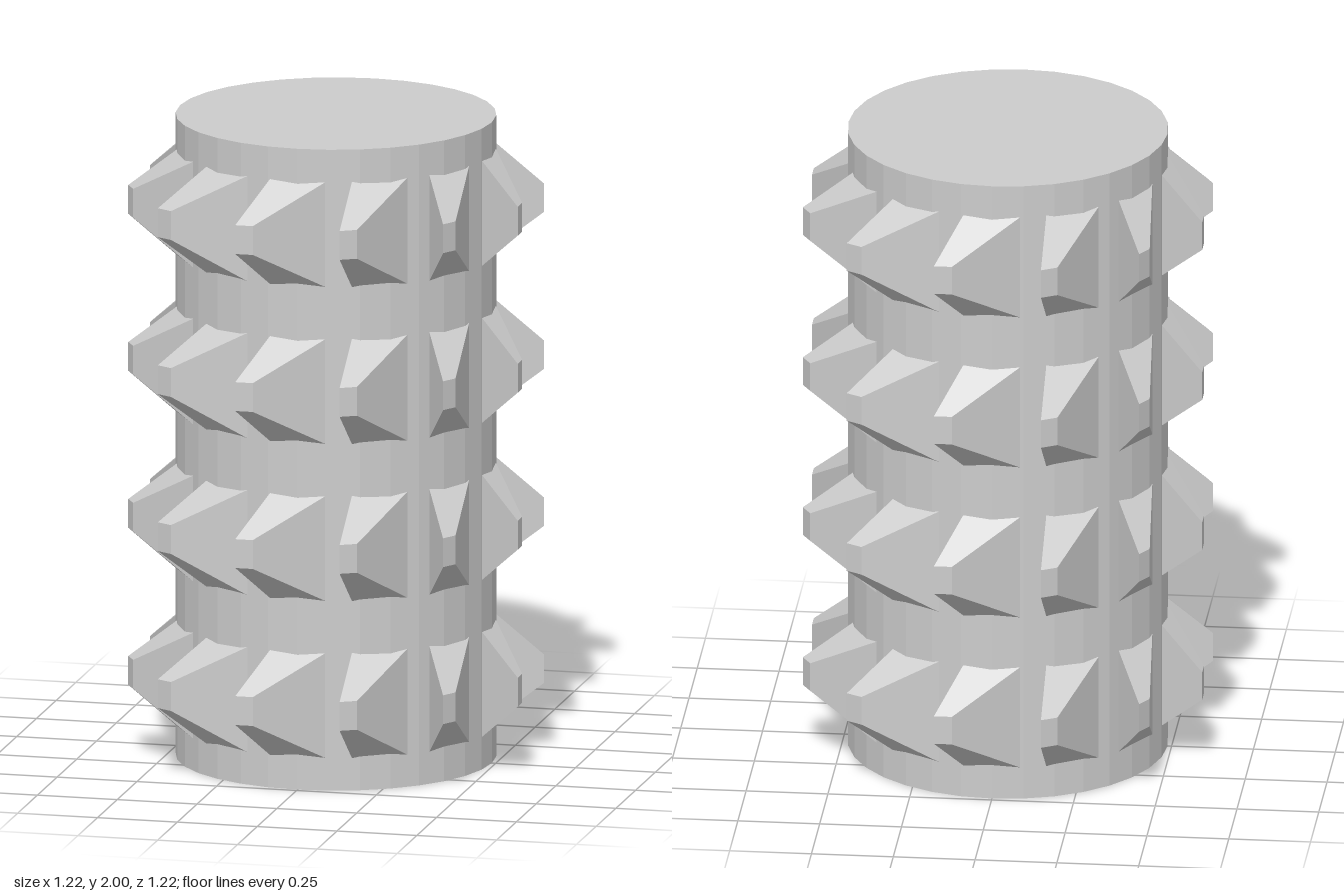
import * as THREE from 'three';

const RADIUS = 0.488, HEIGHT = 2;
const RINGS = 4, TEETH = 12, RING_START = 0.265, RING_STEP = 0.49;

// Leaning, tapered tooth pointing along +z; its root is sunk into the drum
function toothGeometry() {
  const geometry = new THREE.BoxGeometry(1, 1, 1);
  const p = geometry.attributes.position;
  for (let i = 0; i < p.count; i++) {
    const tip = p.getZ(i) > 0;
    const left = p.getX(i) < 0;
    const x = tip ? (left ? -0.165 : -0.11) : (left ? -0.083 : 0.099);
    const halfHeight = tip ? 0.045 : 0.172;
    p.setXYZ(i, x, Math.sign(p.getY(i)) * halfHeight, tip ? 0.61 : 0.47);
  }
  geometry.computeVertexNormals();
  return geometry;
}

export function createModel() {
  const steel = new THREE.MeshStandardMaterial({ color: 0xcccccc, flatShading: true });
  steel.name = 'light grey steel';

  const model = new THREE.Group();
  model.name = 'toothedRoller';

  // Drum
  const drum = new THREE.Mesh(new THREE.CylinderGeometry(RADIUS, RADIUS, HEIGHT, 32), steel);
  drum.name = 'drum';
  drum.position.y = HEIGHT / 2;
  model.add(drum);

  // Rings of teeth
  const tooth = toothGeometry();
  for (let r = 0; r < RINGS; r++) {
    const ring = new THREE.Group();
    ring.name = `toothRing${r + 1}`;
    ring.position.y = RING_START + r * RING_STEP;
    for (let t = 0; t < TEETH; t++) {
      const mesh = new THREE.Mesh(tooth, steel);
      mesh.name = 'tooth';
      mesh.rotation.y = (t / TEETH) * Math.PI * 2;
      ring.add(mesh);
    }
    model.add(ring);
  }
  return model;
}
